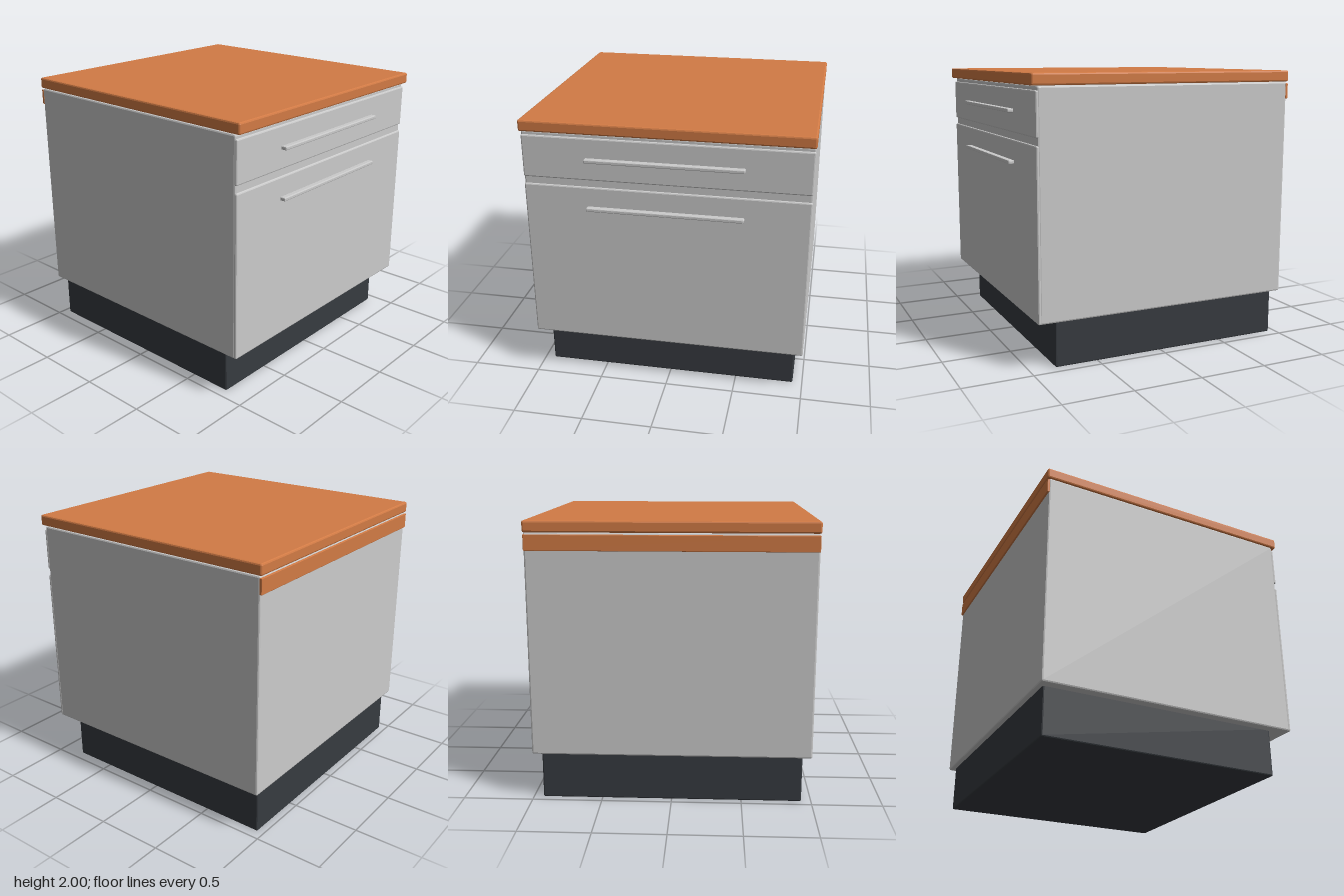
import * as THREE from 'three';
import { RoundedBoxGeometry } from 'three/addons/geometries/RoundedBoxGeometry.js';

const paint = (color) => new THREE.MeshStandardMaterial({ color, flatShading: true });

// Box with chamfered edges, given by its limits on each axis
function panel(name, material, [x0, x1], [y0, y1], [z0, z1], chamfer) {
  const geometry = new RoundedBoxGeometry(x1 - x0, y1 - y0, z1 - z0, 1, chamfer);
  const mesh = new THREE.Mesh(geometry, material);
  mesh.name = name;
  mesh.position.set((x0 + x1) / 2, (y0 + y1) / 2, (z0 + z1) / 2);
  return mesh;
}

export function createModel() {
  const model = new THREE.Group();
  model.name = 'drawerCabinet';
  const grey = paint(0xcccccc);
  const wood = paint(0xd27b45);
  const dark = paint(0x373b40);

  // Recessed base, body and worktop
  model.add(
    panel('plinth', dark, [-0.93, 0.93], [0, 0.36], [-0.95, 0.815], 0.01),
    panel('carcass', grey, [-0.995, 0.995], [0.34, 1.918], [-0.987, 0.947], 0.012),
    panel('worktop', wood, [-1, 1], [1.92, 2], [-1, 0.986], 0.012),
    panel('backRail', wood, [-0.995, 0.995], [1.797, 1.907], [-1, -0.98], 0.004)
  );

  // Drawer fronts, each with a long bar handle
  const fronts = [
    { name: 'upperDrawer', y: [1.585, 1.89], handleY: 1.737 },
    { name: 'lowerDrawer', y: [0.34, 1.535], handleY: 1.381 }
  ];
  for (const { name, y, handleY } of fronts) {
    const drawer = new THREE.Group();
    drawer.name = name;
    drawer.add(
      panel('drawerFront', grey, [-0.995, 0.995], y, [0.935, 0.96], 0.01),
      panel('handle', grey, [-0.547, 0.547], [handleY - 0.013, handleY + 0.013], [0.956, 1], 0.006)
    );
    model.add(drawer);
  }
  return model;
}
